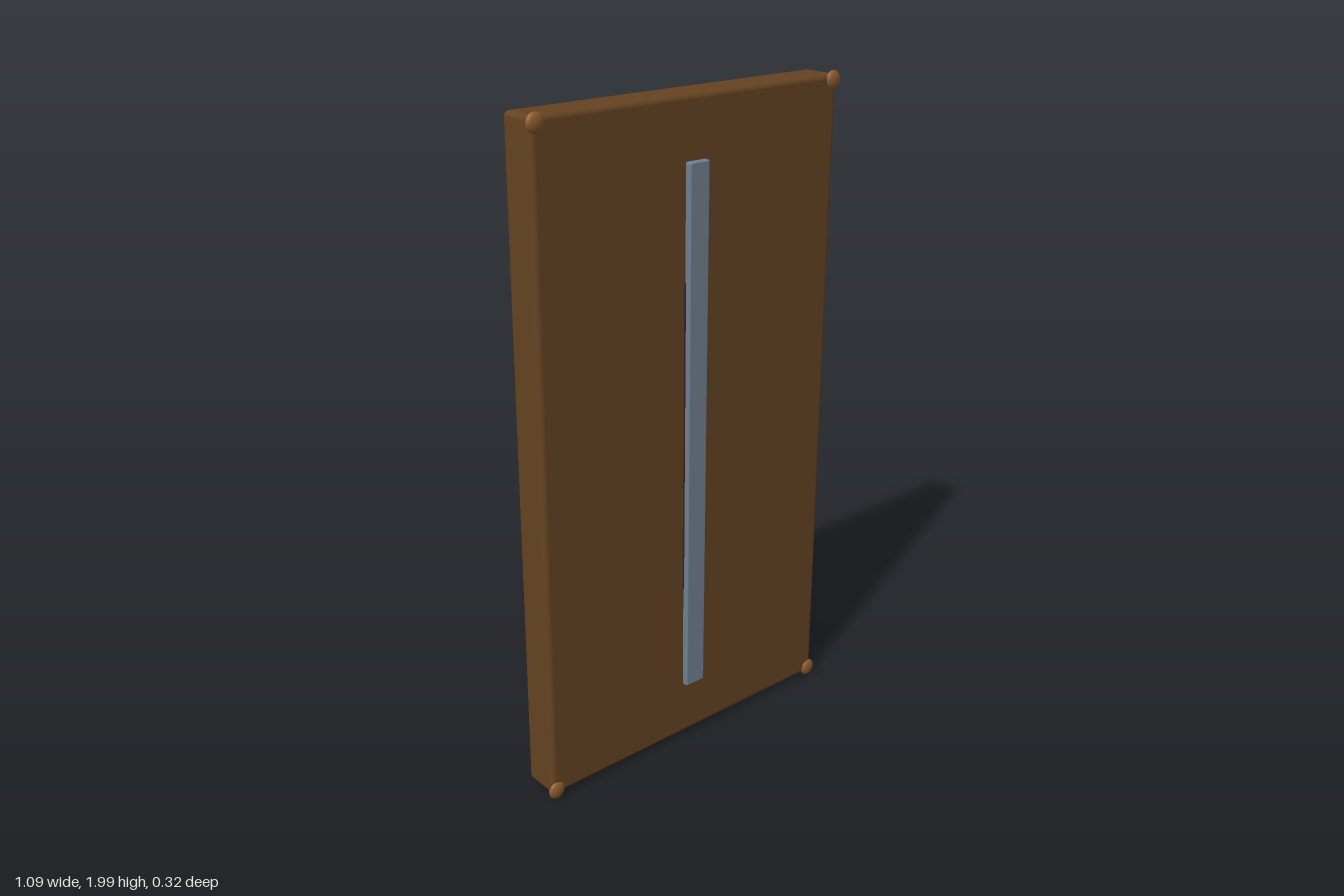
import * as THREE from 'three';
import { RoundedBoxGeometry } from 'three/addons/geometries/RoundedBoxGeometry.js';

const paint = (name, color) => {
  const m = new THREE.MeshStandardMaterial({ color });
  m.name = name;
  return m;
};

export function createModel() {
  const wood = paint('brown wood', 0x654321);
  const steel = paint('grey steel', 0x708090);
  const leather = paint('dark leather', 0x3e2723);
  const brass = paint('bronze', 0x8b5a2b);
  const group = new THREE.Group();

  const add = (name, geometry, material, x, y, z) => {
    const mesh = new THREE.Mesh(geometry, material);
    mesh.name = name;
    mesh.position.set(x, y, z);
    group.add(mesh);
    return mesh;
  };

  // Board and the strip down its front
  add('board', new RoundedBoxGeometry(1.07, 1.97, 0.12, 3, 0.016), wood, 0, 1.005, 0.078);
  add('strip', new RoundedBoxGeometry(0.07, 1.616, 0.03, 2, 0.005), steel, 0, 1.005, 0.142);

  // Dark backing that just shows beside the strip
  add('stripBacking', new THREE.BoxGeometry(0.078, 0.95, 0.008), leather, 0, 1.005, 0.137);

  // Flattened studs on the front corners
  for (const x of [-0.52, 0.52]) {
    for (const y of [0.035, 1.973]) {
      add('cornerStud', new THREE.SphereGeometry(0.027, 16, 12), brass, x, y, 0.136).scale.z = 0.45;
    }
  }

  // Carrying handle: a bow in a plane leaning up and back
  const half = [[0.162, 0], [0.171, 0.35], [0.178, 0.65], [0.17, 0.83], [0.14, 0.93], [0.075, 0.985]];
  const profile = [
    ...half.map(([x, s]) => [-x, s]),
    [0, 1],
    ...half.slice().reverse(),
  ];
  const path = new THREE.CatmullRomCurve3(
    profile.map(([x, s]) => new THREE.Vector3(x, 0.925 + 0.191 * s, -0.001 - 0.138 * s)),
    false, 'centripetal');
  add('handle', new THREE.TubeGeometry(path, 48, 0.022, 12, false), leather, 0, 0, 0);

  // Caps on the handle ends
  for (const t of [0, 1]) {
    const p = path.getPoint(t);
    const outward = path.getTangent(t).multiplyScalar(t ? 1 : -1);
    const cap = add('handleEnd', new THREE.CircleGeometry(0.022, 12), leather, p.x, p.y, p.z);
    cap.quaternion.setFromUnitVectors(new THREE.Vector3(0, 0, 1), outward);
  }

  return group;
}
